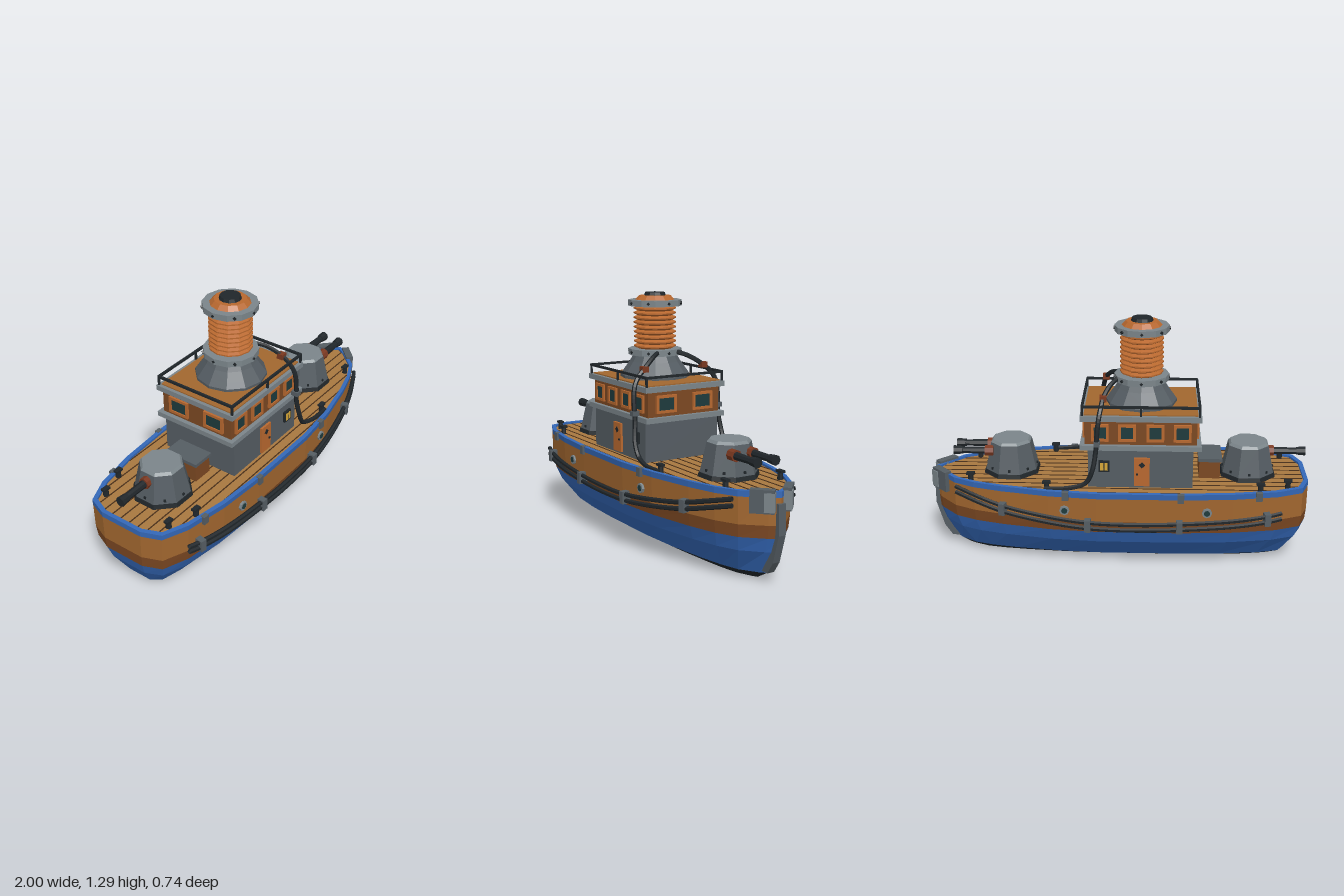
import * as THREE from 'three';

const mats = {};
const mat = (c) => (mats[c] ??= new THREE.MeshStandardMaterial({ color: c, flatShading: true, side: THREE.DoubleSide }));
const BLUE = 0x3468b8, BROWN = 0x7c4822, WOOD = 0xa2672f, PLANK = 0xa87840, ORANGE = 0xb8682f, RUST = 0x7a3820;
const DARK = 0x20262a, GREY = 0x555d63, LIGHT = 0x7b858a, GLASS = 0x1d3a3c, YELLOW = 0xd8a838;
const SIDES = [1, -1];

// Half outline of the rim, stern to bow: [x, half width]
const OUTLINE = [[-1, 0.12], [-0.96, 0.22], [-0.83, 0.275], [-0.6, 0.315], [-0.33, 0.333], [0.1, 0.333],
  [0.35, 0.308], [0.6, 0.255], [0.75, 0.21], [0.86, 0.155], [0.955, 0.05], [0.985, 0]];

export function createModel() {
  const root = new THREE.Group();

  const add = (name, geo, color, x = 0, y = 0, z = 0, parent = root) => {
    const m = new THREE.Mesh(geo, mat(color));
    m.name = name;
    m.position.set(x, y, z);
    parent.add(m);
    return m;
  };
  const box = (name, color, w, h, d, x, y, z, parent) => add(name, new THREE.BoxGeometry(w, h, d), color, x, y, z, parent);
  const cyl = (name, color, rTop, rBot, h, n, x, y, z, parent) =>
    add(name, new THREE.CylinderGeometry(rTop, rBot, h, n), color, x, y, z, parent);
  const tube = (name, color, pts, r, parent) => {
    const curve = new THREE.CatmullRomCurve3(pts.map((p) => new THREE.Vector3(...p)), false, 'centripetal');
    return add(name, new THREE.TubeGeometry(curve, pts.length * 4, r, 6), color, 0, 0, 0, parent);
  };

  // ---- Hull: the outline scaled at each level [y, x scale, z scale]
  const ring = ([y, sx, sz]) => [
    ...OUTLINE.map(([x, z]) => [x * sx, y, z * sz]),
    ...OUTLINE.slice(0, -1).reverse().map(([x, z]) => [x * sx, y, -z * sz])];
  const mesh = (name, color, verts, index) => {
    const g = new THREE.BufferGeometry();
    g.setAttribute('position', new THREE.Float32BufferAttribute(verts.flat(), 3));
    g.setIndex(index);
    g.computeVertexNormals();
    return add(name, g, color);
  };
  const band = (name, color, levels) => {
    const rings = levels.map(ring), n = rings[0].length, index = [];
    for (let l = 0; l < levels.length - 1; l++)
      for (let i = 0; i < n; i++) {
        const a = l * n + i, b = l * n + (i + 1) % n;
        index.push(a, b, b + n, a, b + n, a + n);
      }
    mesh(name, color, rings.flat(), index);
  };
  const cap = (name, color, level, up) => {
    const r = ring(level), n = r.length, index = [];
    for (let i = 0; i < n; i++) {
      const j = (i + 1) % n;
      index.push(n, up ? i : j, up ? j : i);
    }
    mesh(name, color, [...r, [0, level[0], 0]], index);
  };
  const L = [[0, 0.83, 0.32], [0.04, 0.9, 0.54], [0.16, 0.97, 0.85], [0.232, 0.995, 0.95],
    [0.295, 1, 0.985], [0.427, 1, 1], [0.457, 1, 1.01], [0.457, 0.978, 0.94], [0.445, 0.978, 0.94]];
  cap('hullBottom', DARK, L[0], false);
  band('keelBand', DARK, L.slice(0, 2));
  band('lowerHull', BLUE, L.slice(1, 4));
  band('lowerStrake', BROWN, L.slice(3, 5));
  band('upperStrake', WOOD, L.slice(4, 6));
  band('rim', BLUE, L.slice(5));
  cap('deck', PLANK, L[8], true);

  // Dark seams between the deck planks, clipped to the outline
  for (let k = 0; k < 6; k++) {
    const z = 0.027 + k * 0.053, xs = [-0.975];
    OUTLINE.slice(1).forEach(([x1, w1], i) => {
      const [x0, w0] = OUTLINE[i], a = w0 * 0.94 - z, b = w1 * 0.94 - z;
      if (a * b < 0) xs.push((x0 + (x1 - x0) * a / (a - b)) * 0.975);
    });
    const [lo, hi] = xs.slice(-2);
    for (const s of SIDES) box('plankSeam', 0x4a3019, hi - lo, 0.003, 0.006, (lo + hi) / 2, 0.446, s * z);
  }

  // ---- Stem iron and bow fenders
  const stem = new THREE.Shape([[0.86, 0.05], [0.915, 0.05], [0.955, 0.11], [0.995, 0.25], [0.993, 0.4], [0.96, 0.4], [0.95, 0.2]]
    .map((p) => new THREE.Vector2(...p)));
  add('stemIron', new THREE.ExtrudeGeometry(stem, { depth: 0.04, bevelEnabled: false }), GREY, 0, 0, -0.02);
  for (const s of SIDES) {
    box('bowFender', GREY, 0.115, 0.112, 0.04, 0.94, 0.413, s * 0.075).rotation.y = s * 0.78;
    box('bowFenderCap', LIGHT, 0.05, 0.09, 0.05, 0.965, 0.41, s * 0.05).rotation.y = s * 0.78;
  }

  // ---- Side fittings, mirrored
  for (const s of SIDES) {
    const side = new THREE.Group();
    side.name = s > 0 ? 'rightFittings' : 'leftFittings';
    root.add(side);
    const path = [[-0.85, 0.327, 0.29], [-0.775, 0.315, 0.307], [-0.6, 0.298, 0.332], [-0.325, 0.284, 0.349], [-0.1, 0.278, 0.353],
      [0.145, 0.284, 0.347], [0.37, 0.305, 0.32], [0.59, 0.337, 0.275], [0.72, 0.368, 0.235], [0.85, 0.4, 0.178]];
    for (const dy of [-0.016, 0.016])
      tube('rubbingRope', DARK, path.map(([x, y, z]) => [x, y + dy, s * z]), 0.012, side);
    [[1, 0.17], [3, 0.03], [5, -0.06], [7, -0.28]].forEach(([i, a]) => {
      const [x, y, z] = path[i];
      box('ropeBracket', GREY, 0.032, 0.064, 0.05, x, y, s * (z - 0.006), side).rotation.y = -s * a;
    });
    for (const [x, z] of [[-0.73, 0.295], [-0.33, 0.333], [0.26, 0.319]])
      box('rimClamp', GREY, 0.034, 0.045, 0.025, x, 0.437, s * z, side);
    for (const [x, z] of [[-0.465, 0.318], [0.265, 0.31]]) {
      cyl('portholeRing', LIGHT, 0.026, 0.026, 0.03, 8, x, 0.355, s * z, side).rotation.x = Math.PI / 2;
      cyl('portholeGlass', GLASS, 0.016, 0.016, 0.036, 8, x, 0.355, s * z, side).rotation.x = Math.PI / 2;
    }
    for (const [x, z] of [[-0.885, 0.2], [-0.74, 0.25], [0.36, 0.26], [0.77, 0.16]]) {
      cyl('bollard', DARK, 0.013, 0.015, 0.04, 8, x, 0.465, s * z, side);
      box('bollardCap', DARK, 0.042, 0.012, 0.026, x, 0.486, s * z, side);
    }

    // Steam pipe from the funnel collar to the deck
    tube('steamPipe', DARK, [[0, 0.985, 0.06], [0.035, 0.965, 0.11], [0.07, 0.918, 0.18], [0.08, 0.88, 0.222], [0.09, 0.83, 0.25], [0.1, 0.73, 0.258],
      [0.105, 0.66, 0.256], [0.125, 0.55, 0.268], [0.16, 0.485, 0.267], [0.25, 0.462, 0.28], [0.37, 0.455, 0.275]]
      .map(([x, y, z]) => [x, y, s * z]), 0.0125, side);
    box('pipeJoint', RUST, 0.035, 0.03, 0.035, 0.07, 0.917, s * 0.18, side);
    box('pipeClamp', GREY, 0.03, 0.025, 0.04, 0.1, 0.7, s * 0.255, side);

    // Door and lamp window of the lower cabin
    box('door', ORANGE, 0.08, 0.155, 0.02, -0.13, 0.535, s * 0.222, side);
    box('doorWindow', DARK, 0.024, 0.024, 0.024, -0.13, 0.575, s * 0.222, side).rotation.z = Math.PI / 4;
    box('doorKnob', DARK, 0.01, 0.01, 0.03, -0.105, 0.525, s * 0.222, side);
    box('lampWindowFrame', DARK, 0.056, 0.06, 0.024, 0.065, 0.565, s * 0.222, side);
    for (const dx of [-0.011, 0.011]) box('lampWindowPane', YELLOW, 0.016, 0.042, 0.03, 0.065 + dx, 0.565, s * 0.222, side);
  }

  // ---- Cabins
  const cx = -0.122;
  box('lowerCabin', GREY, 0.54, 0.22, 0.44, cx, 0.55, 0);
  box('cabinLedge', LIGHT, 0.622, 0.026, 0.475, cx, 0.668, 0);
  box('upperCabin', BROWN, 0.574, 0.135, 0.43, cx, 0.745, 0);
  box('roofEdge', LIGHT, 0.618, 0.028, 0.478, cx, 0.826, 0);
  box('roofPanel', WOOD, 0.58, 0.008, 0.44, cx, 0.842, 0);
  const cabinWindow = (x, z, w, h, turn) => {
    const g = new THREE.Group();
    g.name = 'cabinWindow';
    g.position.set(x, 0.746, z);
    g.rotation.y = turn;
    root.add(g);
    for (const s of SIDES) {
      box('frameRail', ORANGE, w, 0.014, 0.02, 0, s * (h / 2 - 0.007), 0, g);
      box('frameStile', ORANGE, 0.014, h, 0.02, s * (w / 2 - 0.007), 0, 0, g);
    }
    box('glass', GLASS, w - 0.02, h - 0.02, 0.008, 0, 0, 0, g);
  };
  for (const s of SIDES) {
    for (const x of [-0.335, -0.197, -0.053, 0.085]) cabinWindow(x, s * 0.216, 0.09, 0.092, 0);
    for (const z of [0.11, -0.11]) cabinWindow(cx + s * 0.289, z, 0.12, 0.092, Math.PI / 2);
  }

  // Roof railing
  for (const s of SIDES) {
    box('rail', DARK, 0.6, 0.012, 0.012, cx, 0.888, s * 0.229);
    box('rail', DARK, 0.012, 0.012, 0.46, cx + s * 0.297, 0.888, 0);
    for (const x of [-0.297, 0, 0.297]) box('railPost', DARK, 0.01, 0.05, 0.01, cx + x, 0.863, s * 0.229);
  }

  // Deck crate
  box('crate', BROWN, 0.11, 0.1, 0.18, -0.485, 0.493, 0);
  box('crateLid', GREY, 0.125, 0.018, 0.2, -0.487, 0.55, 0);

  // ---- Funnel
  const lathe = (name, color, pts) =>
    add(name, new THREE.LatheGeometry(pts.map((p) => new THREE.Vector2(...p)), 12), color, cx, 0, 0);
  lathe('funnelBase', GREY, [[0.185, 0.84], [0.185, 0.86], [0.165, 0.888], [0.135, 0.93], [0.108, 0.975]]);
  const bellows = [];
  for (let i = 0; i < 9; i++) {
    const y = 0.998 + i * 0.025;
    bellows.push([0.094, y], [0.113, y + 0.009], [0.113, y + 0.016]);
  }
  lathe('bellows', ORANGE, [...bellows, [0.094, 1.223]]);
  for (const [y, r] of [[0.981, 0.143], [1.239, 0.142]]) {
    cyl('funnelCollar', LIGHT, r, r, 0.032, 12, cx, y, 0);
    for (let i = 0; i < 8; i++) {
      const a = i * Math.PI / 4;
      const b = box('collarBolt', DARK, 0.012, 0.012, 0.012, cx + Math.cos(a) * r * 0.985, y, Math.sin(a) * r * 0.985);
      b.rotation.set(0, -a, 0);
      b.rotateX(Math.PI / 4);
    }
  }
  cyl('funnelCap', ORANGE, 0.083, 0.105, 0.023, 12, cx, 1.266, 0);
  cyl('funnelMouth', DARK, 0.052, 0.058, 0.018, 12, cx, 1.285, 0);

  // ---- Gun turrets; dir is the way the guns point along x
  const turret = (name, x, dir, guns) => {
    const g = new THREE.Group();
    g.name = name;
    g.position.x = x;
    root.add(g);
    const along = (n, c, r0, r1, x0, x1, z) =>
      (cyl(n, c, r1, r0, x1 - x0, 8, dir * (x0 + x1) / 2, 0.572, z, g).rotation.z = -dir * Math.PI / 2);
    cyl('turretRing', DARK, 0.15, 0.155, 0.022, 8, 0, 0.456, 0, g).rotation.y = Math.PI / 8;
    cyl('turretBody', GREY, 0.112, 0.145, 0.148, 8, 0, 0.541, 0, g).rotation.y = Math.PI / 8;
    cyl('turretTop', LIGHT, 0.1, 0.112, 0.014, 8, 0, 0.622, 0, g).rotation.y = Math.PI / 8;
    for (let i = 0; i < 8; i++) {
      const a = i * Math.PI / 4;
      box('turretRivet', DARK, 0.012, 0.012, 0.012, Math.cos(a) * 0.13, 0.485, Math.sin(a) * 0.13, g).rotation.y = -a;
    }
    for (const z of guns) {
      along('gunSocket', RUST, 0.03, 0.03, 0.09, 0.135, z);
      along('gunBarrel', DARK, 0.021, 0.018, 0.13, 0.26, z);
      along('gunMuzzle', DARK, 0.022, 0.026, 0.255, 0.302, z);
    }
  };
  turret('frontTurret', 0.57, 1, [0.052, -0.052]);
  turret('rearTurret', -0.69, -1, [0]);

  return root;
}
